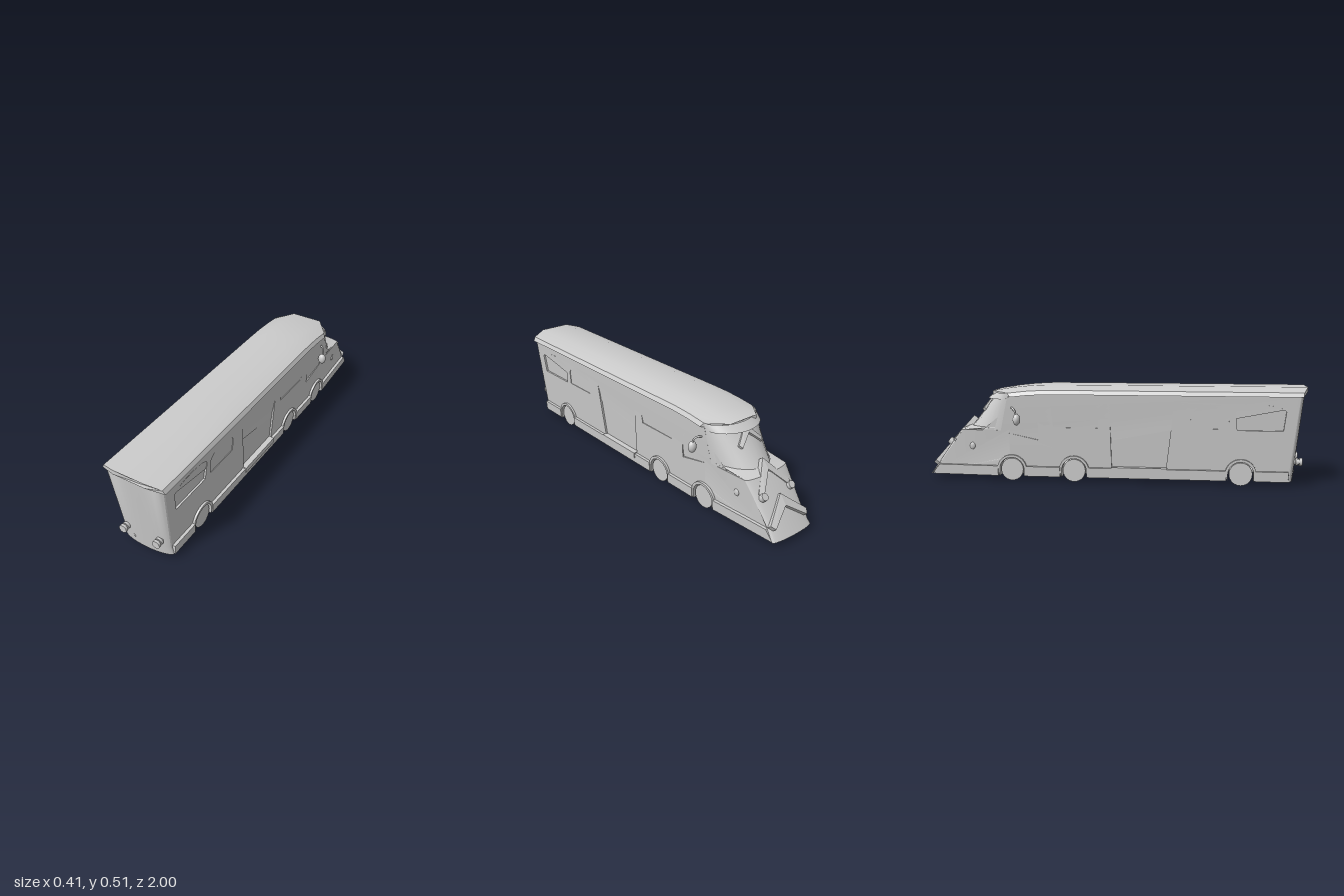
import * as THREE from 'three';
import { toCreasedNormals } from 'three/addons/utils/BufferGeometryUtils.js';

const grey = new THREE.MeshStandardMaterial({ color: 0xcccccc, side: THREE.DoubleSide });
const WHEELS = [-0.67, 0.2, 0.535]; // along the body, positive toward the cab

// Half width of the body: leaning sides, tapering toward the nose
const halfWidth = (y, z) => 0.1275 + 0.069 * y - 0.05 * Math.max(0, -z - 0.6);

function add(group, name, geometry, x = 0, y = 0, z = 0) {
  const mesh = new THREE.Mesh(geometry, grey);
  mesh.name = name;
  mesh.position.set(x, y, z);
  group.add(mesh);
  return mesh;
}

function polygon(points) {
  return new THREE.Shape(points.map(p => new THREE.Vector2(p[0], p[1])));
}

// Extrudes a side profile and bends it onto both leaning flanks
function sidePanels(group, name, shape, out, depth) {
  for (const side of [1, -1]) {
    const geo = new THREE.ExtrudeGeometry(shape, { depth, bevelEnabled: false, curveSegments: 14 });
    const p = geo.attributes.position;
    for (let i = 0; i < p.count; i++) {
      const y = p.getY(i), z = -p.getX(i);
      p.setXYZ(i, side * (halfWidth(y, z) + out - depth + p.getZ(i)), y, z);
    }
    if (side < 0) { // restore the corner order after mirroring
      for (let i = 0; i < p.count; i += 3) {
        const a = new THREE.Vector3().fromBufferAttribute(p, i);
        const b = new THREE.Vector3().fromBufferAttribute(p, i + 1);
        p.setXYZ(i, b.x, b.y, b.z);
        p.setXYZ(i + 1, a.x, a.y, a.z);
      }
    }
    add(group, (side > 0 ? 'left ' : 'right ') + name, toCreasedNormals(geo, 0.5));
  }
}

// Skin over rows of points
function skin(rows, extra = []) {
  const n = rows[0].length, index = [...extra];
  for (let r = 0; r < rows.length - 1; r++) {
    for (let c = 0; c < n - 1; c++) {
      const a = r * n + c, b = a + 1, d = a + n, e = d + 1;
      index.push(a, b, d, b, e, d);
    }
  }
  const geo = new THREE.BufferGeometry();
  geo.setAttribute('position', new THREE.Float32BufferAttribute(rows.flat(2), 3));
  geo.setIndex(index);
  return toCreasedNormals(geo, 0.5);
}

// Bowed end panel; each row is [y, half width, z at the corner, z at the centre]
function bowed(rows, dir) {
  return skin(rows.map(([y, w, zs, zc]) => {
    const row = [];
    for (let i = 0; i <= 16; i++) {
      const t = (i / 16 - 0.5) * Math.PI * dir;
      row.push([w * Math.sin(t), y, zs + (zc - zs) * Math.cos(t)]);
    }
    return row;
  }));
}

function arched(x0, x1, bottom, shoulder, top, flare = 0) {
  const s = new THREE.Shape();
  s.moveTo(x0 + flare, bottom);
  s.lineTo(x1 - flare, bottom);
  s.lineTo(x1, shoulder);
  s.quadraticCurveTo(x1 - 0.03, top, (x0 + x1) / 2, top);
  s.quadraticCurveTo(x0 + 0.03, top, x0, shoulder);
  return s;
}

// Swept-back V plate lying on the sloping nose
function chevron(group, name, w, h, t, slope, y, z, bow) {
  const s = polygon([[0, h], [-w, 0], [-w * 0.85, -t * 0.4], [0, h - t], [w * 0.85, -t * 0.4], [w, 0]]);
  const geo = new THREE.ExtrudeGeometry(s, { depth: 0.03, bevelEnabled: false });
  const p = geo.attributes.position;
  for (let i = 0; i < p.count; i++) p.setZ(i, p.getZ(i) + bow * p.getX(i) ** 2);
  geo.rotateX(slope);
  geo.computeVertexNormals();
  add(group, name, geo, 0, y, z);
}

function buildRoof(group) {
  const section = [[-0.172, 0.465], [-0.16, 0.487], [-0.085, 0.51], [0.085, 0.51],
    [0.16, 0.487], [0.172, 0.465], [0.085, 0.486], [-0.085, 0.486]];
  const loop = [...section, section[0]];
  const rows = [0, 0.4, 0.75, 0.82, 0.88, 0.94, 1].map(u => loop.map(([x, y]) => {
    const k = Math.max(0, Math.abs(x) - 0.085) / 0.085;
    const z = THREE.MathUtils.lerp(1 - 0.03 * k, -0.645 + 0.11 * k, u);
    return [x, y - 0.033 * (Math.max(0, -0.3 - z) / 0.34) ** 2, z];
  }));
  const cap = THREE.ShapeUtils.triangulateShape(section.map(p => new THREE.Vector2(...p)), []);
  const last = (rows.length - 1) * loop.length;
  const ends = cap.flatMap(([a, b, c]) => [a, b, c, last + a, last + c, last + b]);
  add(group, 'roof', skin(rows, ends));
}

export function createModel() {
  const bus = new THREE.Group();
  bus.name = 'bus';

  // Side walls with wheel arches, windows and door openings
  const wall = new THREE.Shape();
  wall.moveTo(-0.91, 0.03);
  for (const c of WHEELS) {
    wall.lineTo(c - 0.068, 0.03);
    wall.lineTo(c - 0.068, 0.06);
    wall.absarc(c, 0.06, 0.068, Math.PI, 0, true);
    wall.lineTo(c + 0.068, 0.03);
  }
  for (const p of [[0.98, 0.03], [0.8, 0.27], [0.59, 0.27], [0.545, 0.468], [-0.958, 0.468]]) wall.lineTo(...p);
  const openings = [
    ['rear window', arched(-0.89, -0.635, 0.29, 0.39, 0.422, 0.012), -0.01],
    ['blind window', arched(-0.605, -0.41, 0.295, 0.37, 0.415), -0.003],
    ['middle window', arched(0.06, 0.32, 0.29, 0.39, 0.422, 0.012), -0.01],
    ['cab window', polygon([[0.385, 0.22], [0.545, 0.255], [0.53, 0.38], [0.51, 0.42], [0.47, 0.42],
      [0.43, 0.395], [0.4, 0.35], [0.388, 0.3]]), -0.012],
    ['door', polygon([[-0.285, 0.08], [0, 0.08], [0.01, 0.437], [-0.2, 0.435], [-0.325, 0.42]]), -0.01],
  ];
  for (const [name, shape, out] of openings) {
    wall.holes.push(new THREE.Path(shape.getPoints(14)));
    sidePanels(bus, name, shape, out, 0.006);
  }
  sidePanels(bus, 'side wall', wall, 0, 0.018);

  // Skirts between the wheels, and the door step
  for (const [a, b] of [[-0.91, -0.745], [-0.595, 0.125], [0.275, 0.46], [0.61, 0.94]]) {
    const tip = b > 0.9 ? 0.04 : 0;
    sidePanels(bus, 'skirt', polygon([[a, 0.025], [b + tip, 0.025], [b, 0.078], [a, 0.078]]), 0.016, 0.022);
  }
  sidePanels(bus, 'door step', polygon([[-0.29, 0.052], [0, 0.052], [0, 0.084], [-0.29, 0.084]]), 0.02, 0.04);

  // Fenders and wheels
  for (const c of WHEELS) {
    const arch = new THREE.Shape();
    arch.moveTo(c + 0.08, 0.025);
    arch.absarc(c, 0.06, 0.08, 0, Math.PI, false);
    arch.lineTo(c - 0.08, 0.025);
    arch.lineTo(c - 0.066, 0.025);
    arch.absarc(c, 0.06, 0.066, Math.PI, 0, true);
    arch.lineTo(c + 0.066, 0.025);
    sidePanels(bus, 'fender', arch, 0.012, 0.05);
    for (const s of [1, -1]) {
      const tyre = new THREE.CylinderGeometry(0.06, 0.06, 0.04, 28).rotateZ(Math.PI / 2);
      add(bus, 'wheel', tyre, s * 0.115, 0.06, -c);
    }
  }
  add(bus, 'floor', new THREE.BoxGeometry(0.23, 0.01, 1.84), 0, 0.075, 0);

  // Roof, rear wall and nose
  buildRoof(bus);
  add(bus, 'rear wall', bowed([[0.025, 0.14, 0.91, 0.943], [0.08, 0.134, 0.915, 0.949],
    [0.468, 0.16, 0.958, 0.988], [0.488, 0.1, 0.965, 0.99]], 1));
  add(bus, 'windscreen', bowed([[0.27, 0.146, -0.585, -0.79], [0.4, 0.155, -0.56, -0.685],
    [0.468, 0.159, -0.54, -0.635]], -1));
  add(bus, 'hood', bowed([[0.27, 0.136, -0.8, -0.825], [0.285, 0.146, -0.585, -0.785]], -1));
  add(bus, 'nose', bowed([[0.025, 0.13, -0.982, -1], [0.08, 0.122, -0.94, -0.962],
    [0.2, 0.129, -0.853, -0.878], [0.27, 0.136, -0.8, -0.825]], -1));
  add(bus, 'windscreen visor', bowed([[0.44, 0.156, -0.555, -0.655], [0.436, 0.158, -0.56, -0.685],
    [0.468, 0.16, -0.54, -0.645]], -1));

  // Swept chevrons on the windscreen and nose
  chevron(bus, 'brow chevron', 0.075, 0.085, 0.045, 0.7, 0.395, -0.71, 3);
  chevron(bus, 'hood chevron', 0.105, 0.145, 0.06, 0.74, 0.225, -0.875, 1.5);
  chevron(bus, 'bumper chevron', 0.122, 0.115, 0.06, 0.7, 0.11, -0.972, 1);

  for (const s of [1, -1]) {
    // Head lamps and rear lamps
    const lamp = add(bus, 'head lamp', new THREE.CylinderGeometry(0.018, 0.021, 0.03, 20), s * 0.09, 0.198, -0.877);
    lamp.rotation.x = -0.87;
    for (const [r, len, z] of [[0.014, 0.05, 0.945], [0.02, 0.012, 0.955], [0.021, 0.014, 0.975]]) {
      const disc = new THREE.CylinderGeometry(r, r, len, 20).rotateX(Math.PI / 2);
      add(bus, 'rear lamp', disc, s * 0.095, 0.125, z);
    }
    add(bus, 'small rear lamp', new THREE.SphereGeometry(0.008, 12, 8), s * 0.06, 0.07, 0.94).scale.y = 1.4;

    // Side marker
    add(bus, 'side marker', new THREE.SphereGeometry(0.015, 14, 10), s * 0.132, 0.183, -0.75).scale.set(0.5, 1.3, 1);

    // Mirror on a curved arm
    const arm = new THREE.CatmullRomCurve3([[0.15, 0.392, -0.53], [0.168, 0.392, -0.52],
      [0.181, 0.378, -0.505], [0.182, 0.345, -0.495]].map(p => new THREE.Vector3(s * p[0], p[1], p[2])));
    add(bus, 'mirror arm', new THREE.TubeGeometry(arm, 14, 0.005, 8));
    add(bus, 'mirror', new THREE.SphereGeometry(0.03, 18, 12), s * 0.182, 0.333, -0.495).scale.set(0.73, 1, 0.65);
  }
  return bus;
}
